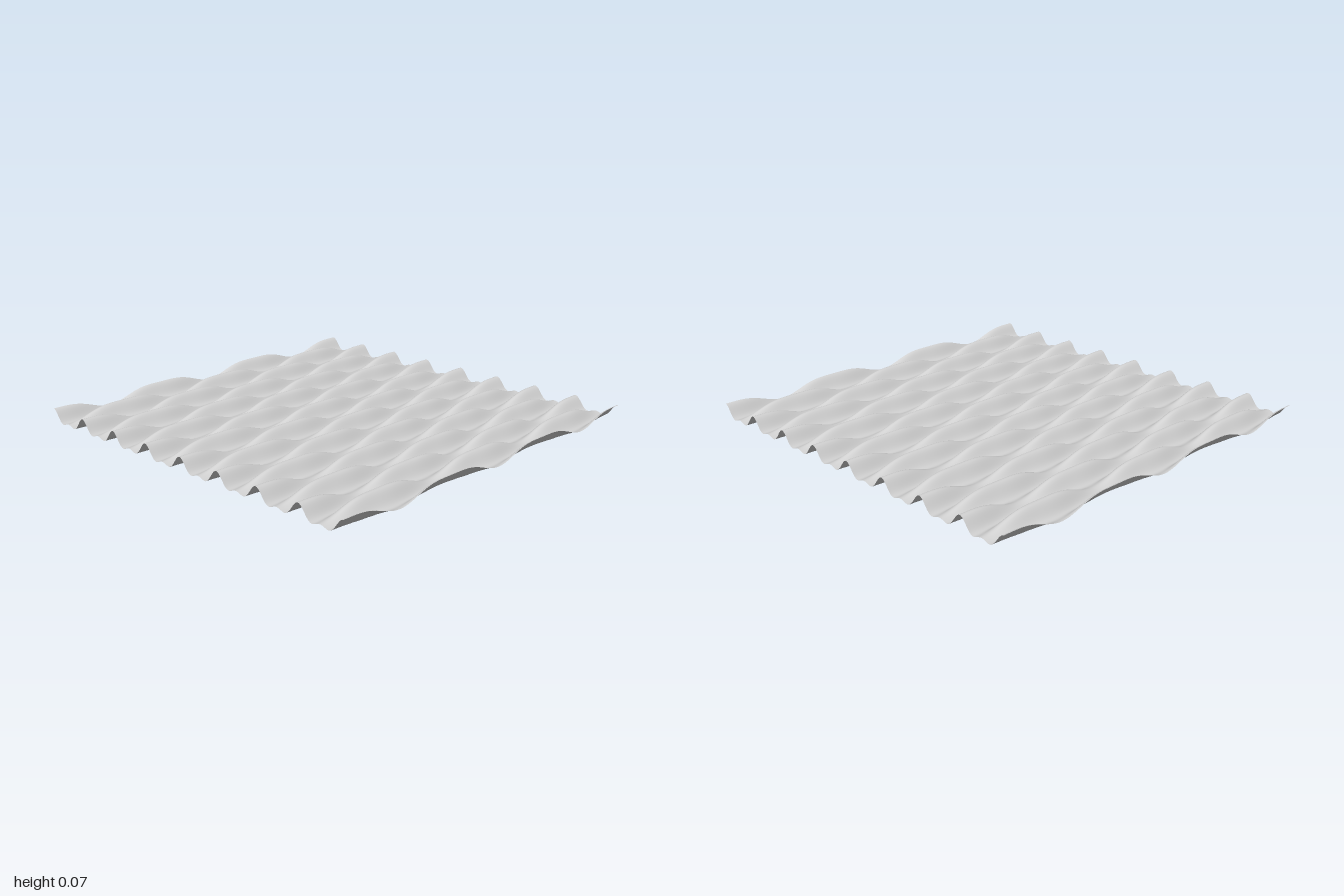
import * as THREE from 'three';

const WIDTH = 2, DEPTH = 1.994;

// Height of the sheet: rows of long humps, each row shifted half a hump
function waveHeight(x, z) {
  const u = Math.cos((16 * Math.PI * z) / DEPTH); // ridges across the depth
  const v = -Math.cos(3 * Math.PI * x);           // swelling along each ridge
  return u * u * (0.055 - 0.021 * v * v) + 0.028 * u * v + 0.006 * v * v;
}

export function createModel() {
  const group = new THREE.Group();
  group.name = 'wavePanel';

  const lightGrey = new THREE.MeshStandardMaterial({ color: 0xd2d2d2, side: THREE.DoubleSide });
  lightGrey.name = 'light grey';

  // Flat grid raised into the wave relief
  const geometry = new THREE.PlaneGeometry(WIDTH, DEPTH, 96, 256);
  geometry.rotateX(-Math.PI / 2);
  const p = geometry.attributes.position;
  for (let i = 0; i < p.count; i++) p.setY(i, waveHeight(p.getX(i), p.getZ(i)));
  geometry.computeVertexNormals();

  const sheet = new THREE.Mesh(geometry, lightGrey);
  sheet.name = 'wavySheet';
  group.add(sheet);
  return group;
}
